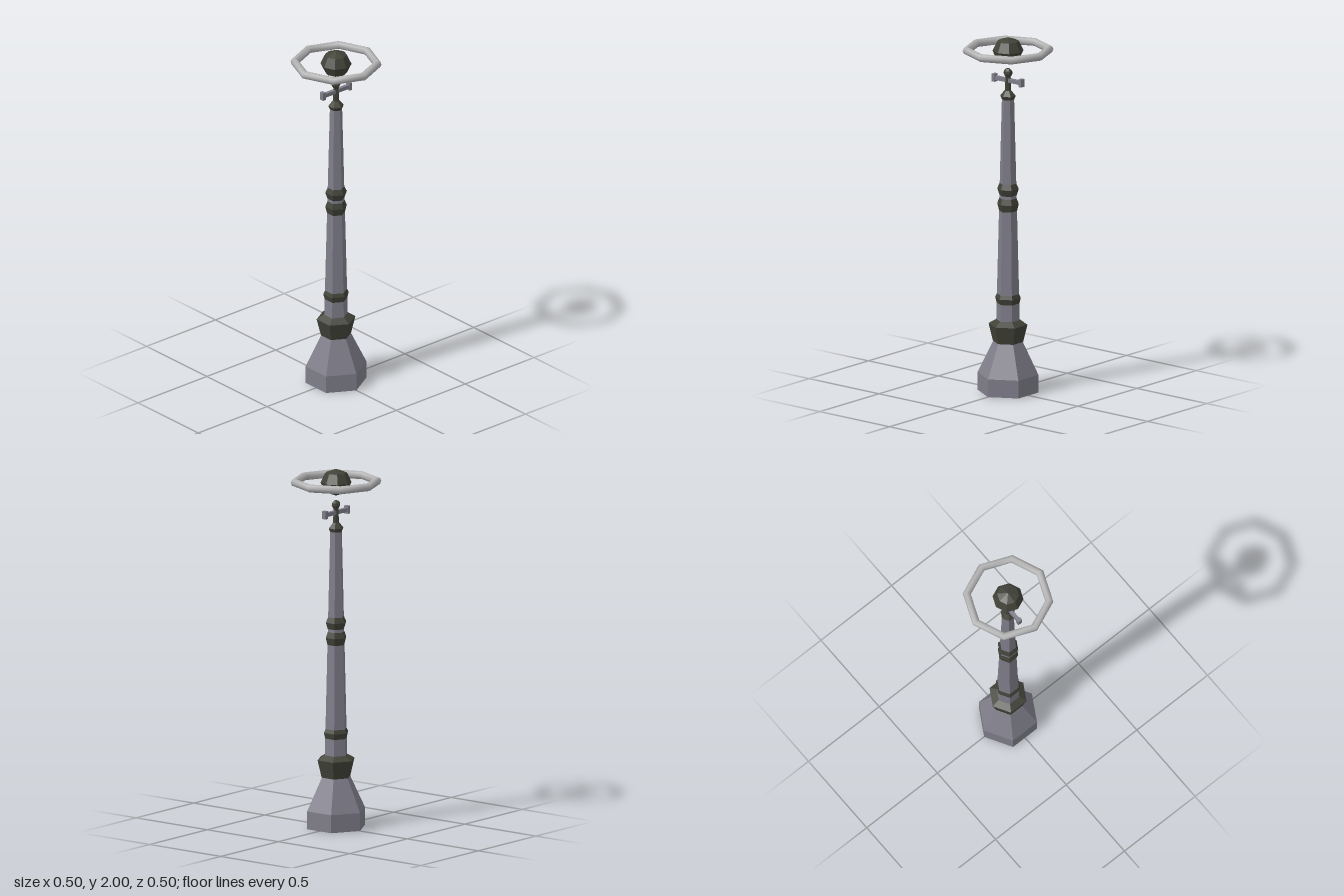
import * as THREE from 'three';

export function createModel() {
  const model = new THREE.Group();
  model.name = 'lampPost';

  const paint = (name, color, flatShading = true) => {
    const m = new THREE.MeshStandardMaterial({ color, flatShading });
    m.name = name;
    return m;
  };
  const steel = paint('greySteel', 0x7f7e8a);
  const iron = paint('darkIron', 0x414238);
  const silver = paint('paleSilver', 0xb2b2b2, false);

  const add = (name, geometry, material, x = 0, y = 0, z = 0) => {
    const mesh = new THREE.Mesh(geometry, material);
    mesh.name = name;
    mesh.position.set(x, y, z);
    model.add(mesh);
    return mesh;
  };
  // Closed six-sided turning from [radius, height] pairs, bottom to top
  const turned = (name, material, profile) => {
    const closed = [[0, profile[0][1]], ...profile, [0, profile.at(-1)[1]]];
    const points = closed.map(([r, y]) => new THREE.Vector2(r, y));
    return add(name, new THREE.LatheGeometry(points, 6), material);
  };

  // Post
  turned('base', steel, [[0.169, 0], [0.169, 0.1], [0.081, 0.285]]);
  turned('shaft', steel, [[0.066, 0.38], [0.034, 1.66]]);

  // Collars
  turned('baseCollar', iron, [[0.084, 0.282], [0.108, 0.38], [0.066, 0.405]]);
  turned('lowerCollar', iron, [[0.061, 0.49], [0.071, 0.53], [0.06, 0.555]]);
  turned('middleCollar', iron,
    [[0.05, 1.02], [0.06, 1.06], [0.045, 1.1], [0.06, 1.145], [0.046, 1.175]]);
  turned('topCollar', iron, [[0.035, 1.65], [0.043, 1.67], [0.018, 1.7]]);

  // Finial
  turned('stem', iron, [[0.017, 1.69], [0.015, 1.785]]);
  turned('finial', iron, [[0.014, 1.775], [0.025, 1.795], [0.023, 1.81], [0.012, 1.822]]);

  // Crossbar with end plates
  add('crossbar', new THREE.BoxGeometry(0.19, 0.022, 0.02), steel, 0, 1.757, 0);
  for (const side of [-1, 1]) {
    add(side > 0 ? 'leftBarEnd' : 'rightBarEnd',
      new THREE.BoxGeometry(0.02, 0.044, 0.027), steel, side * 0.096, 1.757, 0);
  }

  // Floating ball and ring
  add('ball', new THREE.SphereGeometry(0.085, 8, 4), iron, 0, 1.925, 0).scale.y = 0.075 / 0.085;
  const ring = new THREE.TorusGeometry(0.2265, 0.0225, 8, 8).rotateX(-Math.PI / 2);
  add('ring', ring, silver, 0, 1.927, 0);

  return model;
}
